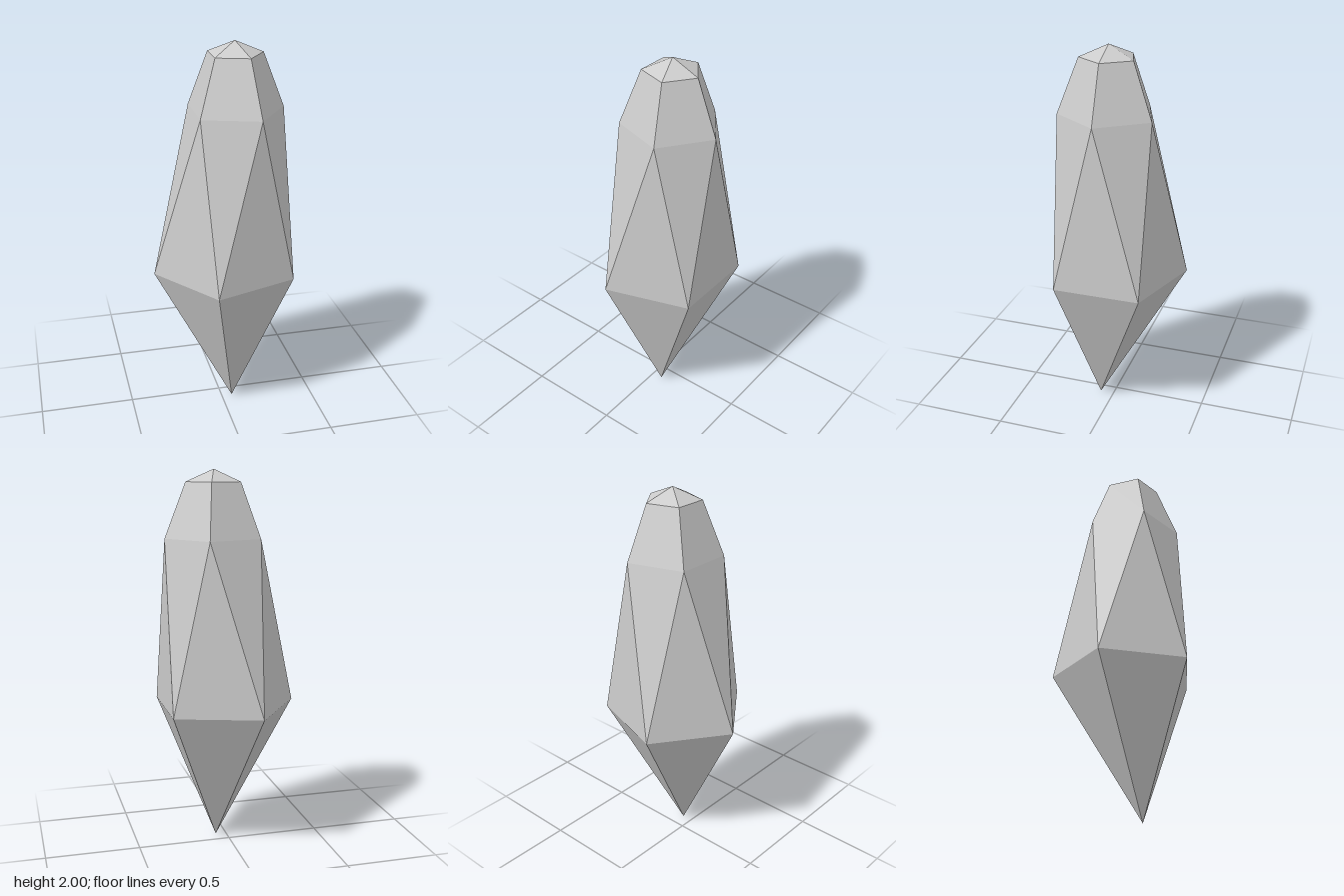
import * as THREE from 'three';

const SIDES = 5;

// Horizontal pentagon of points; phase is in fractions of one side
function ring(x, y, z, radius, phase = 0) {
  return Array.from({ length: SIDES }, (_, i) => {
    const a = ((i + phase) / SIDES) * Math.PI * 2;
    return new THREE.Vector3(x + radius * Math.cos(a), y, z + radius * Math.sin(a));
  });
}

export function createModel() {
  const group = new THREE.Group();
  group.name = 'crystal';

  const bottomTip = new THREE.Vector3(0.057, 0, 0.075);
  const girdle = ring(0.036, 0.775, 0, 0.388, 0.5);
  const shoulder = ring(0.077, 1.655, 0.015, 0.257);
  const crown = ring(0.076, 1.937, 0.015, 0.147);
  const topTip = new THREE.Vector3(0.076, 2, 0.015);

  const points = [];
  for (let i = 0; i < SIDES; i++) {
    const j = (i + 1) % SIDES;
    points.push(
      // lower point
      bottomTip, girdle[i], girdle[j],
      // twisted band of alternating triangles
      girdle[i], shoulder[i], shoulder[j],
      girdle[i], shoulder[j], girdle[j],
      // sloping shoulder facets
      shoulder[i], crown[i], crown[j],
      shoulder[i], crown[j], shoulder[j],
      // shallow cap
      crown[i], topTip, crown[j],
    );
  }

  const geometry = new THREE.BufferGeometry().setFromPoints(points);
  geometry.computeVertexNormals();
  const material = new THREE.MeshStandardMaterial({ color: 0xcccccc, flatShading: true });
  const shard = new THREE.Mesh(geometry, material);
  shard.name = 'crystalShard';
  group.add(shard);
  return group;
}
